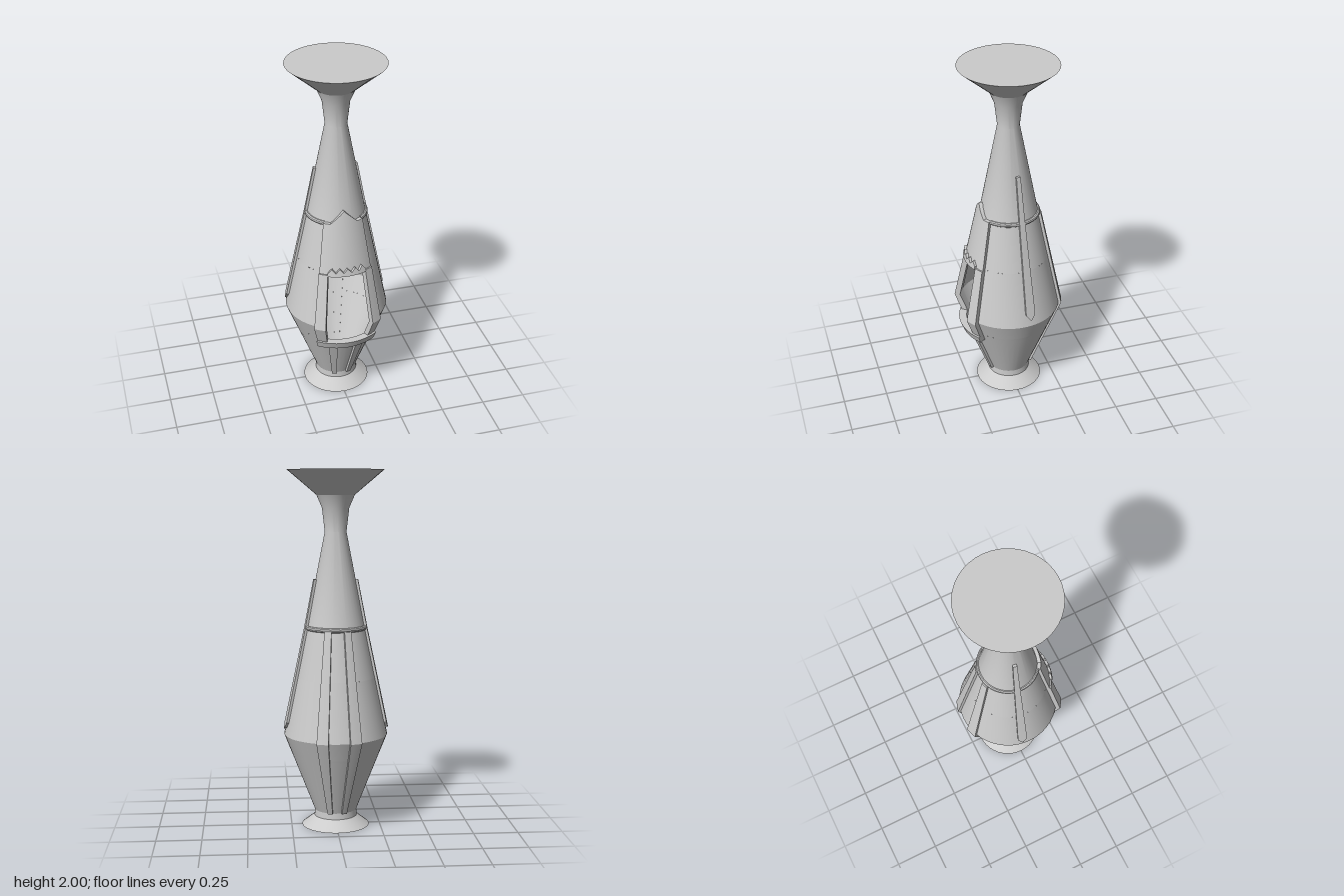
import * as THREE from 'three';
import { toCreasedNormals } from 'three/addons/utils/BufferGeometryUtils.js';

const grey = new THREE.MeshStandardMaterial({ color: 0xcccccc, side: THREE.DoubleSide });
const rad = THREE.MathUtils.degToRad;

// Vessel outline as [radius, height]
const PROFILE = [
  [0.19, 0], [0.12, 0.055], [0.118, 0.09], [0.241, 0.405], [0.29, 0.53], [0.221, 0.855],
  [0.163, 1.13], [0.06, 1.66], [0.075, 1.79], [0.105, 1.86], [0.27, 2],
];
const SILL = 0.425, LINTEL = 0.855, HALF_OPEN = 25.5, HALF_PANEL = 37.5;

// Vessel radius at a height
function radiusAt(y) {
  for (let i = 1; i < PROFILE.length; i++) {
    const [r0, y0] = PROFILE[i - 1], [r1, y1] = PROFILE[i];
    if (y <= y1) return r0 + (r1 - r0) * (y - y0) / (y1 - y0);
  }
  return PROFILE.at(-1)[0];
}

function addMesh(parent, name, geometry) {
  const mesh = new THREE.Mesh(toCreasedNormals(geometry, 0.4), grey);
  mesh.name = name;
  parent.add(mesh);
  return mesh;
}

// Part of the vessel wall between two heights, phi measured from the front
function wall(y0, y1, start = 0, sweep = 360) {
  const inner = PROFILE.filter(([, y]) => y > y0 && y < y1);
  const points = [[radiusAt(y0), y0], ...inner, [radiusAt(y1), y1]];
  return new THREE.LatheGeometry(points.map(([r, y]) => new THREE.Vector2(r, y)), 40, rad(start), rad(sweep));
}

// Slab that hugs the vessel from angle a0 to a1, with rows at the given heights.
// shape(u, row, phi, y) may return a changed [phi, y]; u runs 0..1 across.
function slab(a0, a1, rows, thick, shape, columns = Math.ceil(Math.abs(a1 - a0) / 6)) {
  const n = rows.length - 1;
  const geometry = new THREE.BoxGeometry(1, 1, 1, columns, n, 1);
  const p = geometry.attributes.position;
  for (let i = 0; i < p.count; i++) {
    const u = p.getX(i) + 0.5, row = Math.round((p.getY(i) + 0.5) * n);
    let phi = a0 + (a1 - a0) * u, y = rows[row];
    if (shape) [phi, y] = shape(u, row, phi, y);
    const r = radiusAt(y) + (p.getZ(i) > 0 ? thick : -0.004);
    p.setXYZ(i, r * Math.sin(rad(phi)), y, r * Math.cos(rad(phi)));
  }
  return geometry;
}

export function createModel() {
  const model = new THREE.Group();
  model.name = 'chimneyStove';

  // Hollow vessel with a gap for the fire opening, closed on top
  const body = new THREE.Group();
  body.name = 'body';
  model.add(body);
  addMesh(body, 'lowerBody', wall(0, SILL));
  addMesh(body, 'middleBody', wall(SILL, LINTEL, HALF_OPEN, 360 - 2 * HALF_OPEN));
  addMesh(body, 'upperBody', wall(LINTEL, 2));
  const lid = addMesh(body, 'topDisc', new THREE.CircleGeometry(0.27, 40).rotateX(-Math.PI / 2));
  lid.position.y = 2;

  // Raised front panel around the opening
  const panel = new THREE.Group();
  panel.name = 'frontPanel';
  model.add(panel);
  for (const [name, a0, a1] of [['rightJamb', -HALF_PANEL, -HALF_OPEN], ['leftJamb', HALF_OPEN, HALF_PANEL]]) {
    addMesh(panel, name, slab(a0, a1, [SILL, 0.53, LINTEL], 0.028));
  }
  const peak = (u, row, phi, y) => [phi, row === 2 ? y + 0.07 * Math.max(0, 1 - Math.abs(phi) / 25) : y];
  addMesh(panel, 'panelTop', slab(-HALF_PANEL, HALF_PANEL, [LINTEL, 1.13, 1.14], 0.02, peak, 18));
  addMesh(panel, 'sill', slab(-HALF_PANEL, HALF_PANEL, [0.38, SILL], 0.04));

  // Jagged trim above the opening
  const zigzag = (u, row, phi, y) => [phi, row === 1 && Math.round(u * 10) % 2 ? y + 0.025 : y];
  addMesh(panel, 'jaggedTrim', slab(-HALF_OPEN, HALF_OPEN, [0.85, 0.868], 0.034, zigzag, 10));

  // Ring around sides and back, ending at the panel
  const ring = new THREE.TorusGeometry(0.162, 0.013, 10, 36, rad(360 - 2 * HALF_PANEL));
  ring.rotateZ(rad(90 + HALF_PANEL)).rotateX(Math.PI / 2);
  addMesh(model, 'ring', ring).position.y = 1.132;

  // Ribs: pointed side straps, full-length back ribs and short front legs
  for (const [side, s] of [['left', 1], ['right', -1]]) {
    const strap = (a0, a1, rows, thick, shape) =>
      s > 0 ? slab(a0, a1, rows, thick, shape) : slab(-a1, -a0, rows, thick, shape);
    const mid = s * 99;
    const point = (u, row, phi, y) => [row === 0 ? mid + (phi - mid) * 0.1 : phi, y];
    addMesh(model, side + 'SideStrap', strap(93.5, 104.5, [0.57, 0.605, 1.13, 1.4], 0.014, point));
    addMesh(model, side + 'BackRib', strap(156, 168.5, [0.09, 0.53, 1.125], 0.016));
    addMesh(model, side + 'FrontRib', strap(13, 25, [0.09, 0.385], 0.016));
  }
  return model;
}
